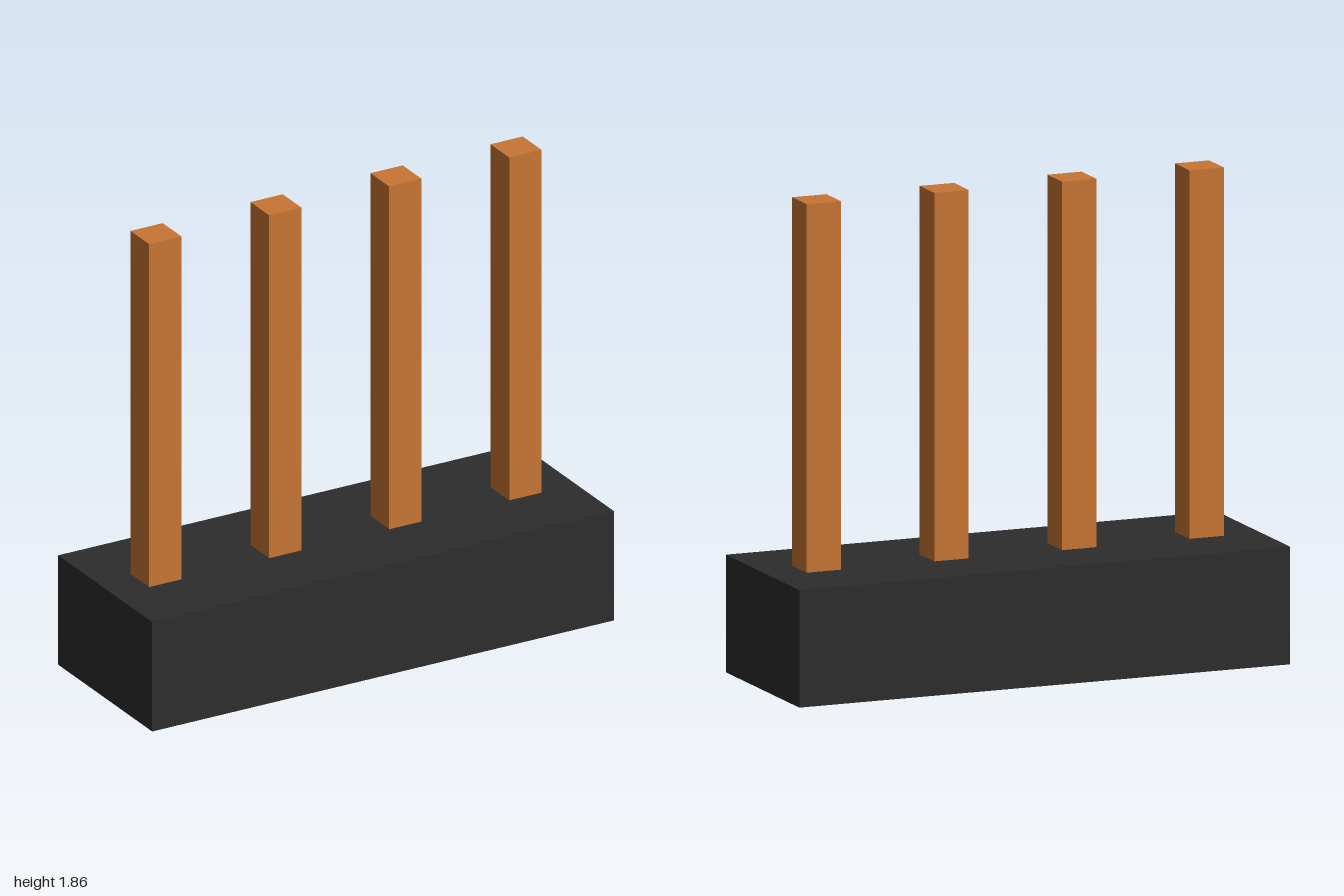
import * as THREE from 'three';

const BASE = { width: 2, height: 0.45, depth: 0.7 };
const PIN = { side: 0.14, top: 1.86, spacing: 0.52, count: 4 };

// Box standing on height y
function block(name, width, height, depth, x, y, material) {
  const mesh = new THREE.Mesh(new THREE.BoxGeometry(width, height, depth), material);
  mesh.name = name;
  mesh.position.set(x, y + height / 2, 0);
  return mesh;
}

export function createModel() {
  const model = new THREE.Group();
  model.name = 'pinHeader';
  const plastic = new THREE.MeshStandardMaterial({ color: 0x2d2d2d });
  const copper = new THREE.MeshStandardMaterial({ color: 0xc87533 });

  // Dark housing
  model.add(block('housing', BASE.width, BASE.height, BASE.depth, 0, 0, plastic));

  // Row of evenly spaced square pins
  const pins = new THREE.Group();
  pins.name = 'pins';
  for (let i = 0; i < PIN.count; i++) {
    const x = (i - (PIN.count - 1) / 2) * PIN.spacing;
    pins.add(block(`pin${i + 1}`, PIN.side, PIN.top - BASE.height, PIN.side, x, BASE.height, copper));
  }
  model.add(pins);

  return model;
}
